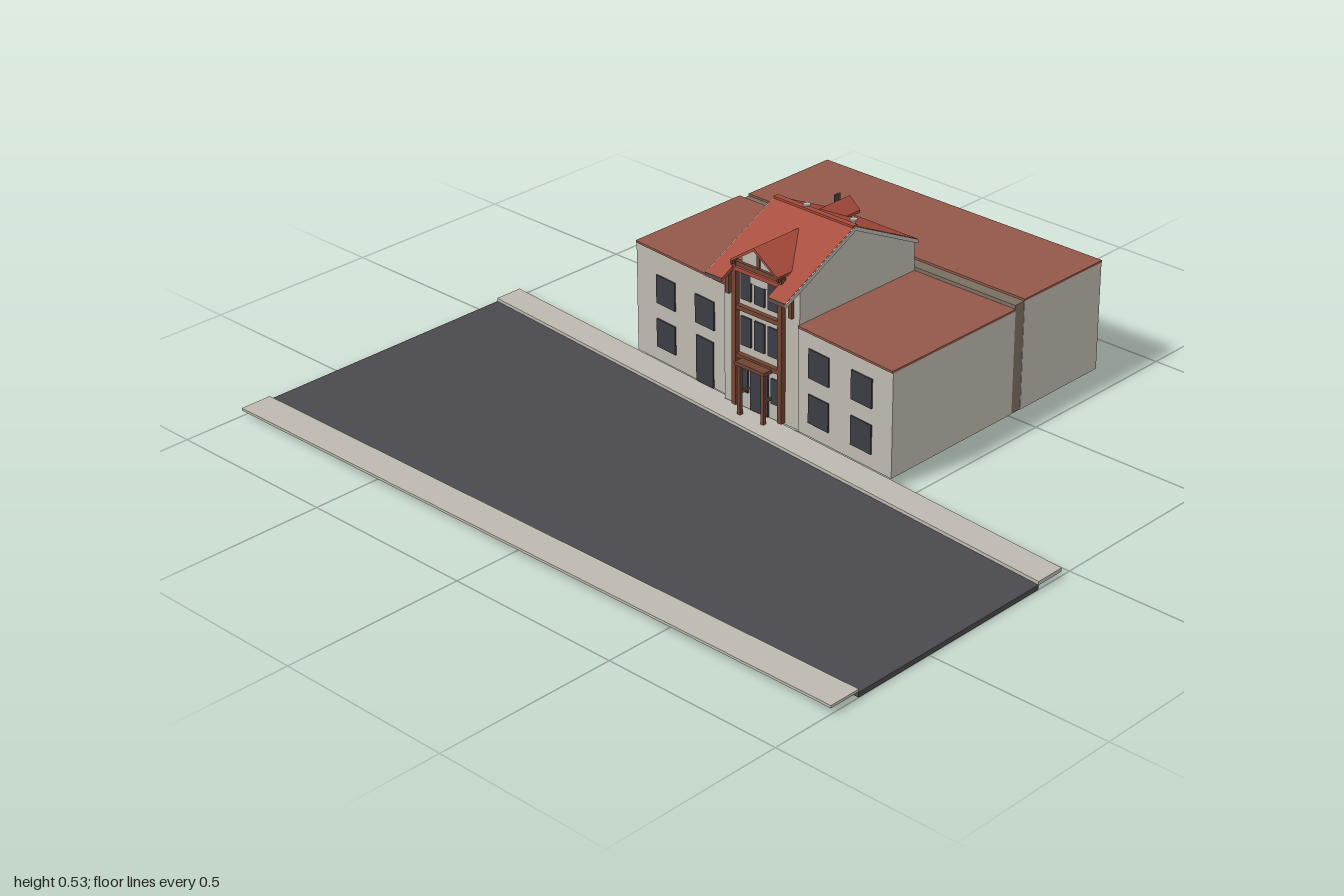
import * as THREE from 'three';

const mat = (name, color) => {
  const m = new THREE.MeshStandardMaterial({ color });
  m.name = name;
  return m;
};

export function createModel() {
  const root = new THREE.Group();
  root.name = 'streetBuilding';
  const wall = mat('plaster', 0xbdb8ae);
  const road = mat('asphalt', 0x4a494e);
  const flat = mat('flatRoofRed', 0x92584a);
  const tile = mat('tileRed', 0xa64a3a);
  const strip = mat('jointBrown', 0x7a6f60);
  const timber = mat('timber', 0x704432);
  const glass = mat('darkGlass', 0x3c3c44);
  const metal = mat('metal', 0x55504c);

  const add = (name, geo, m, parent = root) => {
    const mesh = new THREE.Mesh(geo, m);
    mesh.name = name;
    parent.add(mesh);
    return mesh;
  };
  const box = (name, m, x0, x1, y0, y1, z0, z1, parent) => {
    const g = new THREE.BoxGeometry(x1 - x0, y1 - y0, z1 - z0);
    g.translate((x0 + x1) / 2, (y0 + y1) / 2, (z0 + z1) / 2);
    return add(name, g, m, parent);
  };
  const extrude = (pts, depth) => new THREE.ExtrudeGeometry(
    new THREE.Shape(pts.map(p => new THREE.Vector2(...p))), { depth, bevelEnabled: false });
  // plan outline [x, z] raised from y0 to y1
  const plan = (name, m, pts, y0, y1) =>
    add(name, extrude(pts.map(([x, z]) => [x, -z]), y1 - y0).rotateX(-Math.PI / 2).translate(0, y0, 0), m);
  // [x, y] section run along z
  const alongZ = (name, m, pts, z0, z1) => add(name, extrude(pts, z1 - z0).translate(0, 0, z0), m);
  // [z, y] section run along x
  const alongX = (name, m, pts, x0, x1) =>
    add(name, extrude(pts.map(([z, y]) => [-z, y]), x1 - x0).rotateY(Math.PI / 2).translate(x0, 0, 0), m);

  // Street, one kerb straight and the other slanted
  plan('road', road, [[-0.735, -1], [0.05, -1], [-0.115, 1], [-0.735, 1]], 0, 0.013);
  plan('farPavement', wall, [[-0.825, -1], [-0.735, -1], [-0.735, 1], [-0.825, 1]], 0.015, 0.022);
  plan('nearPavement', wall, [[0.05, -1], [0.132, -1], [-0.03, 1], [-0.115, 1]], 0.012, 0.022);

  // Wings follow the slanted street line
  const front = z => 0.05 - 0.08 * z;
  const wing = (name, z0, z1, top) => {
    const outline = o => [[front(z0) - o, z0], [0.475, z0], [0.475, z1], [front(z1) - o, z1]];
    plan(name + 'Walls', wall, outline(0), 0.025, top - 0.006);
    plan(name + 'Roof', flat, outline(0.003), top - 0.006, top);
  };
  wing('backWing', -0.5, -0.145, 0.34);
  wing('frontWing', 0.11, 0.44, 0.318);
  box('rearBlock', wall, 0.51, 0.82, 0.025, 0.328, -0.5, 0.44);
  box('rearBlockRoof', flat, 0.51, 0.822, 0.328, 0.334, -0.5, 0.44);
  box('joint', strip, 0.475, 0.51, 0.025, 0.328, -0.499, 0.439);
  box('plinth', wall, 0.06, 0.465, 0.01, 0.025, -0.13, 0.1);

  // Central gabled house
  alongZ('houseWalls', wall,
    [[0.045, 0.025], [0.475, 0.025], [0.475, 0.4], [0.245, 0.508], [0.045, 0.412]], -0.145, 0.11);
  const roofY = x => x < 0.242 ? 0.52 - (0.242 - x) * 0.49 : 0.52 - (x - 0.242) * 0.48;
  const slab = (name, m, xs, z0, z1, t = 0.011, lift = 0) => alongZ(name, m,
    [...xs.map(x => [x, roofY(x) + lift]), ...[...xs].reverse().map(x => [x, roofY(x) + lift - t])], z0, z1);
  slab('houseRoof', tile, [0.03, 0.242, 0.482], -0.154, 0.113);
  slab('eave', tile, [-0.012, 0.03], -0.154, -0.1);
  slab('eave', tile, [-0.012, 0.03], 0.055, 0.113);
  for (const [z0, z1] of [[-0.157, -0.154], [0.113, 0.116]])
    slab('bargeboard', wall, [-0.012, 0.242, 0.482], z0, z1, 0.011, -0.001);
  box('ridgeCap', tile, 0.234, 0.25, 0.515, 0.522, -0.154, 0.113);

  // Gutters, downpipes and eave brackets
  for (const z of [-0.128, 0.085]) {
    box('frontGutter', metal, -0.013, -0.006, 0.388, 0.396, z - 0.027, z + 0.027);
    box('eaveBeam', timber, -0.004, 0.046, 0.386, 0.392, z - 0.006, z + 0.006);
    box('eavePost', timber, 0.036, 0.045, 0.33, 0.388, z - 0.006, z + 0.006);
  }
  box('rearGutter', metal, 0.475, 0.482, 0.395, 0.402, -0.15, 0.11);

  // Dormers: gabled body with two thin slopes
  const dormer = (name, zc, half, eave, ridge, x0, x1, wallX0, wallX1, base) => {
    alongX(name + 'Walls', wall, [[zc - half * 0.72, base], [zc + half * 0.72, base],
      [zc + half * 0.72, eave + (ridge - eave) * 0.2], [zc, ridge - 0.008],
      [zc - half * 0.72, eave + (ridge - eave) * 0.2]], wallX0, wallX1);
    alongX(name + 'Roof', tile, [[zc - half, eave], [zc, ridge], [zc + half, eave],
      [zc + half, eave - 0.007], [zc, ridge - 0.009], [zc - half, eave - 0.007]], x0, x1);
  };
  dormer('streetDormer', -0.022, 0.08, 0.437, 0.492, 0.02, 0.182, 0.04, 0.15, 0.38);
  dormer('rearDormer', -0.077, 0.036, 0.452, 0.482, 0.315, 0.436, 0.33, 0.425, 0.42);
  box('rearDormerWindow', glass, 0.424, 0.428, 0.44, 0.456, -0.091, -0.063);

  // Chimneys and vent pipes
  const pipe = (name, m, x, z, y0, y1, r) =>
    add(name, new THREE.CylinderGeometry(r, r, y1 - y0, 8).translate(x, (y0 + y1) / 2, z), m);
  for (const [x, z, y] of [[0.25, -0.055, 0.526], [0.302, 0.055, 0.502]]) {
    pipe('vent', wall, x, z, y - 0.03, y, 0.006);
    pipe('ventCap', wall, x, z, y - 0.004, y, 0.01);
  }
  for (const x of [0.442, 0.45, 0.458]) pipe('fluePipe', metal, x, -0.132, 0.4, 0.465, 0.0028);

  // Street face of the house: timber frame, glazing and doorway
  const face = new THREE.Group();
  face.name = 'houseFace';
  root.add(face);
  const plate = (name, m, z, y, w, h, x = 0.04) =>
    box(name, m, x, 0.046, y - h / 2, y + h / 2, z - w / 2, z + w / 2, face);
  for (const z of [-0.1, 0.056]) {
    plate('framePost', timber, z, 0.23, 0.014, 0.4, 0.03);
    box('dormerBracket', timber, 0.022, 0.045, 0.424, 0.432, z - 0.004, z + 0.004, face);
  }
  for (const y of [0.17, 0.305, 0.425]) plate('frameBeam', timber, -0.022, y, 0.156, 0.012, 0.032);
  plate('gableStud', timber, -0.022, 0.45, 0.01, 0.05, 0.036);
  for (const z of [-0.068, -0.022, 0.024]) {
    plate('upperWindow', glass, z, 0.365, 0.034, 0.075);
    plate('middleWindow', glass, z, 0.24, 0.034, 0.08);
  }
  plate('doorway', glass, -0.022, 0.092, 0.06, 0.13);
  for (const z of [-0.075, 0.032]) plate('groundWindow', glass, z, 0.105, 0.028, 0.07);

  // Doorway porch posts and canopy
  for (const z of [-0.062, 0.018]) {
    box('porchPost', timber, 0.008, 0.018, 0.022, 0.16, z - 0.005, z + 0.005);
    box('porchRail', timber, 0.012, 0.045, 0.08, 0.087, z - 0.003, z + 0.003);
  }
  box('porchCanopy', timber, 0.005, 0.045, 0.16, 0.17, -0.072, 0.028);

  // Openings in the wing facades, turned to the street line
  const opening = (name, z, y, w, h) => {
    const m = add(name, new THREE.BoxGeometry(0.006, h, w), glass);
    m.position.set(front(z) - 0.001, y, z);
    m.rotation.y = -Math.atan(0.08);
  };
  for (const z of [-0.385, -0.235, 0.185, 0.335]) {
    opening('wingWindow', z, 0.23, 0.072, 0.08);
    if (z === -0.235) opening('wingDoor', z, 0.09, 0.065, 0.13);
    else opening('wingWindow', z, 0.105, 0.072, 0.08);
  }
  return root;
}
